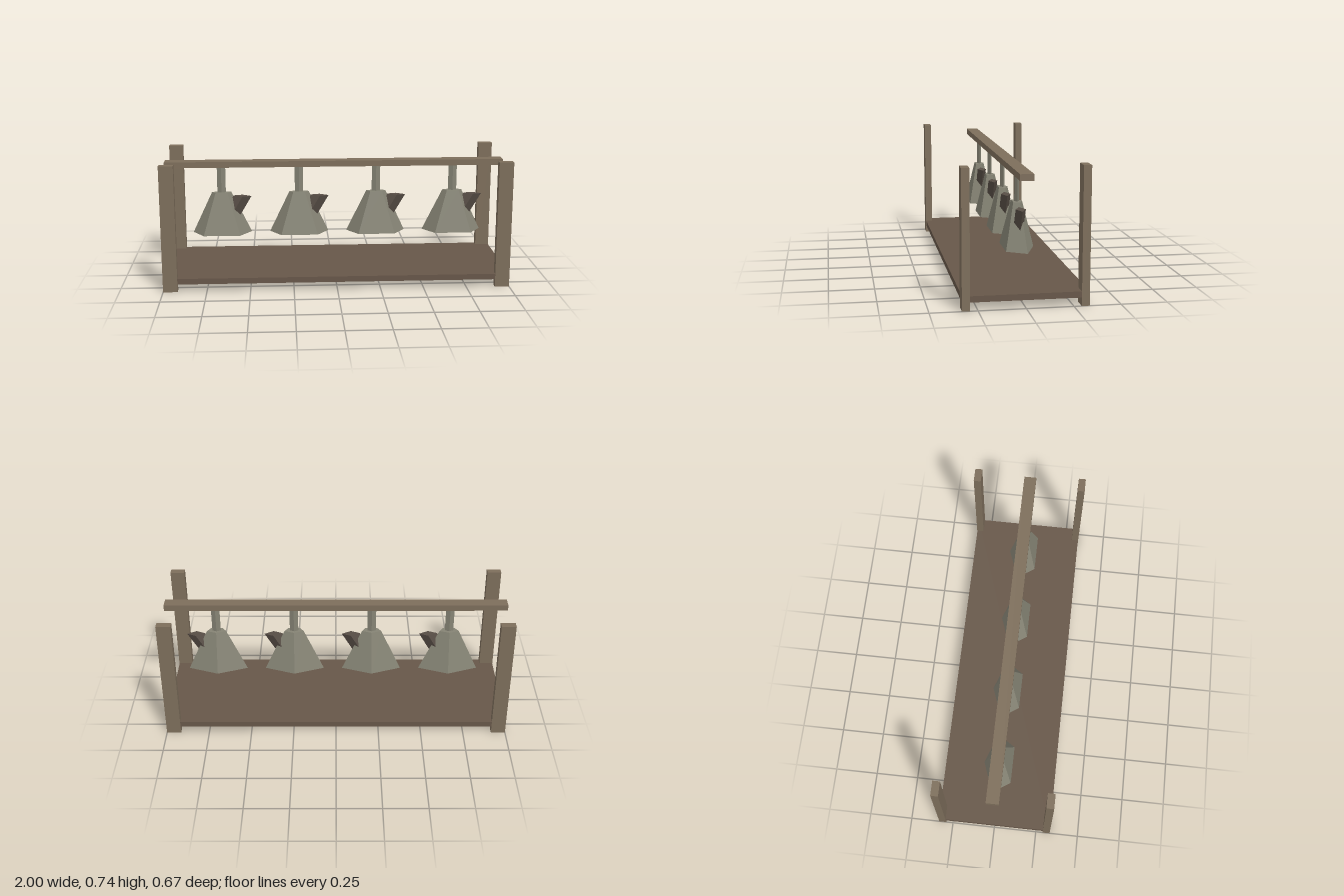
import * as THREE from 'three';

const paint = (color) => new THREE.MeshStandardMaterial({ color, flatShading: true });
const wood = paint(0x7d6e5b);
const darkWood = paint(0x675749);
const metal = paint(0x858374);
const darkMetal = paint(0x574d45);

function add(parent, name, geometry, material, x = 0, y = 0, z = 0) {
  const mesh = new THREE.Mesh(geometry, material);
  mesh.name = name;
  mesh.position.set(x, y, z);
  parent.add(mesh);
  return mesh;
}

// One hanging bell: diamond stem, five-sided flared body, slanted spout
function createBell() {
  const bell = new THREE.Group();

  const stem = new THREE.CylinderGeometry(1, 1, 0.17, 4).scale(0.025, 1, 0.0125);
  add(bell, 'stem', stem, metal, 0, 0.585, 0);

  const body = new THREE.CylinderGeometry(0.06, 0.184, 0.249, 5)
    .rotateY(Math.PI)
    .scale(1, 1, 0.5);
  add(bell, 'bellBody', body, metal, 0, 0.3825, 0);

  // Diamond prism sheared so that its end stays almost level
  const shear = new THREE.Matrix4().makeBasis(
    new THREE.Vector3(0.053, -0.0025, 0),
    new THREE.Vector3(0.1, 0.17, 0),
    new THREE.Vector3(0, 0, 0.027)
  );
  const spout = new THREE.CylinderGeometry(1, 1, 1, 4).translate(0, -0.5, 0).applyMatrix4(shear);
  add(bell, 'spout', spout, darkMetal, 0.123, 0.4845, 0);
  return bell;
}

export function createModel() {
  const model = new THREE.Group();
  model.name = 'bellRack';

  // Corner posts
  const post = new THREE.BoxGeometry(0.083, 0.735, 0.042);
  for (const sx of [-1, 1]) {
    for (const sz of [-1, 1]) {
      add(model, 'cornerPost', post, wood, sx * 0.9585, 0.3675, sz * 0.312);
    }
  }

  // Bottom shelf and hanging rail
  add(model, 'shelf', new THREE.BoxGeometry(1.997, 0.033, 0.663), darkWood, 0, 0.0615, 0);
  add(model, 'hangingRail', new THREE.BoxGeometry(2, 0.035, 0.072), wood, 0, 0.6795, 0);

  // Row of bells
  for (let i = 0; i < 4; i++) {
    const bell = createBell();
    bell.name = 'hangingBell';
    bell.position.x = -0.67 + i * 0.459;
    model.add(bell);
  }
  return model;
}
